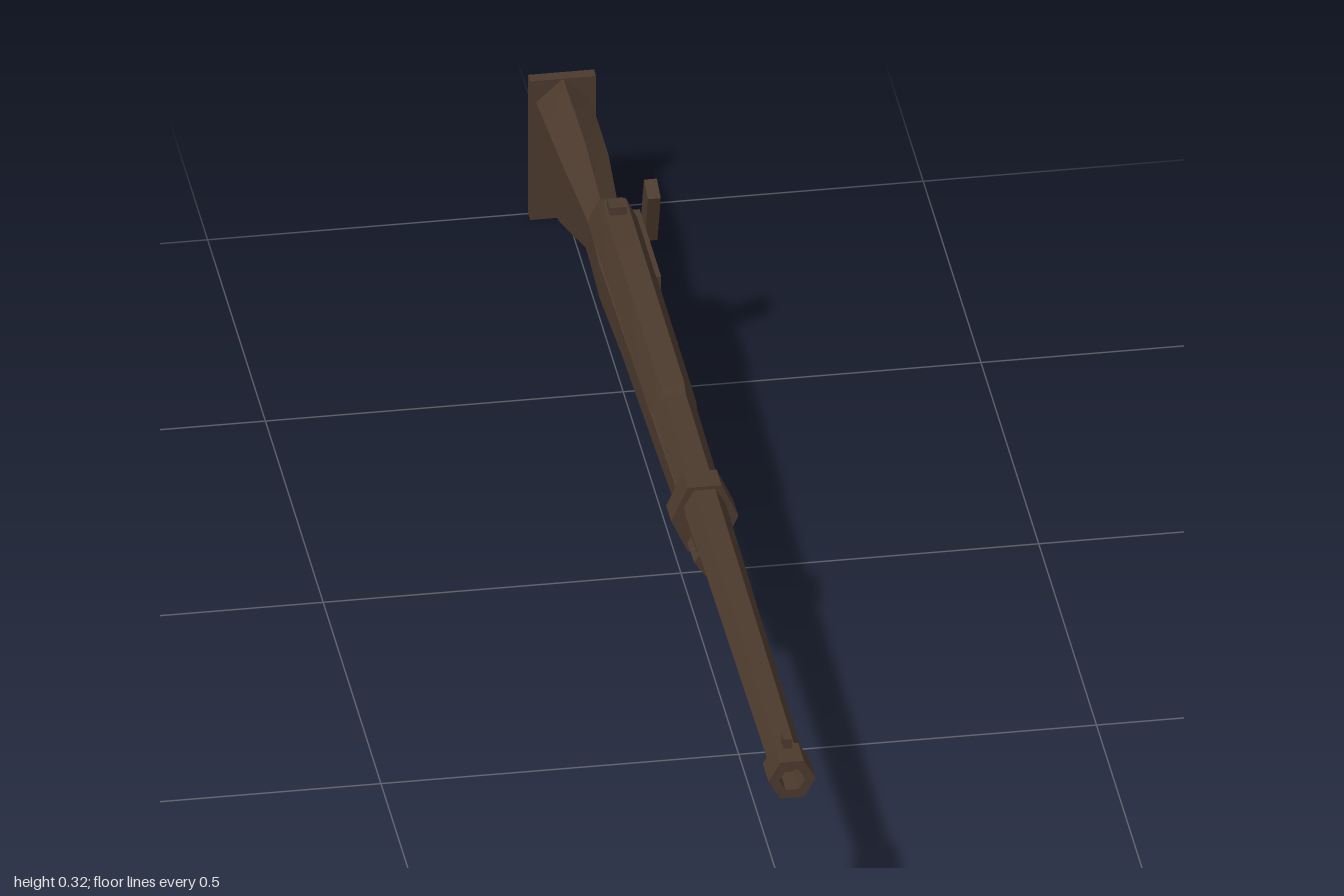
import * as THREE from 'three';
import { toCreasedNormals } from 'three/addons/utils/BufferGeometryUtils.js';

const walnut = new THREE.MeshStandardMaterial({ color: 0x4c3a2d });
walnut.name = 'dark walnut';

// Unit outlines: x in half-widths, y from 0 (bottom) to 1 (top), counter-clockwise
const FLAT = [[1, 0.5], [0.5, 1], [-0.5, 1], [-1, 0.5], [-0.5, 0], [0.5, 0]];
const POINTED = [[0, 0], [1, 0.25], [1, 0.84], [0, 1], [-1, 0.84], [-1, 0.25]];

// Joins sections [z, bottom, top, halfWidth, bottomShift] listed from back to front
function loft(outline, sections, crease = 0.3) {
  const n = outline.length, pos = [], idx = [];
  for (const [z, lo, hi, w, shift = 0] of sections)
    for (const [x, t] of outline) pos.push(x * w, lo + (hi - lo) * t, z + shift * (1 - t));
  for (let s = 0; s < sections.length - 1; s++)
    for (let j = 0; j < n; j++) {
      const a = s * n + j, b = s * n + (j + 1) % n;
      idx.push(a, b, b + n, a, b + n, a + n);
    }
  const last = (sections.length - 1) * n;
  for (let j = 1; j < n - 1; j++) {
    idx.push(0, j + 1, j);
    idx.push(last, last + j, last + j + 1);
  }
  const g = new THREE.BufferGeometry();
  g.setAttribute('position', new THREE.Float32BufferAttribute(pos, 3));
  g.setIndex(idx);
  return toCreasedNormals(g, crease);
}

function hexPath(Type, r) {
  const p = new Type();
  for (let i = 0; i < 6; i++) {
    const a = i * Math.PI / 3;
    p[i ? 'lineTo' : 'moveTo'](r * Math.cos(a), r * Math.sin(a));
  }
  p.closePath();
  return p;
}

export function createModel() {
  const model = new THREE.Group();
  const body = new THREE.Group();
  body.name = 'longGun';
  body.position.x = -0.006;
  model.add(body);

  const add = (name, geometry, x = 0, y = 0, z = 0) => {
    const m = new THREE.Mesh(geometry, walnut);
    m.name = name;
    m.position.set(x, y, z);
    body.add(m);
    return m;
  };
  const box = (name, w, h, d, x, y, z) => add(name, new THREE.BoxGeometry(w, h, d), x, y, z);

  // Tapered six-sided barrel and the thicker rear section
  add('barrel', loft(FLAT, [[-0.55, 0.222, 0.276, 0.031], [0, 0.224, 0.276, 0.031], [0.952, 0.229, 0.271, 0.025]]));
  add('receiver', loft(FLAT, [[-0.57, 0.215, 0.27, 0.03], [-0.545, 0.21, 0.282, 0.035],
    [-0.04, 0.215, 0.281, 0.034], [-0.015, 0.224, 0.276, 0.031]]));

  // Hollow muzzle collar
  const collar = hexPath(THREE.Shape, 0.033);
  collar.holes.push(hexPath(THREE.Path, 0.018));
  add('muzzle', new THREE.ExtrudeGeometry(collar, { depth: 0.05, bevelEnabled: false }), 0, 0.25, 0.95);

  // Sights
  box('frontSight', 0.012, 0.026, 0.022, 0, 0.28, 0.952);
  box('rearSight', 0.024, 0.018, 0.025, 0, 0.285, -0.515);

  // Stock from butt to forend
  add('stock', loft(POINTED, [
    [-0.985, 0.008, 0.222, 0.038, 0.02],
    [-0.8, 0.058, 0.23, 0.034],
    [-0.64, 0.132, 0.215, 0.024],
    [-0.57, 0.142, 0.235, 0.028],
    [-0.45, 0.16, 0.25, 0.035],
    [-0.27, 0.182, 0.25, 0.034],
    [0.0, 0.19, 0.25, 0.031],
    [0.34, 0.2, 0.245, 0.026],
  ], 0.5));
  box('buttPlate', 0.092, 0.222, 0.018, 0, 0.111, -0.991);

  // Barrel band and forend cap
  add('barrelBand', loft(FLAT, [[0.2, 0.178, 0.28, 0.047], [0.243, 0.178, 0.28, 0.047]]));
  add('forendCap', loft(FLAT, [[0.295, 0.199, 0.248, 0.033], [0.35, 0.2, 0.247, 0.032]]));

  // Side plate and tilted hammer
  box('lockPlate', 0.012, 0.048, 0.185, 0.034, 0.226, -0.475);
  const hammer = box('hammer', 0.018, 0.088, 0.036, 0.049, 0.271, -0.528);
  hammer.rotation.x = 0.33;

  // Trigger guard loop and trigger
  const guardPath = new THREE.CurvePath();
  const pts = [[0.158, -0.45], [0.138, -0.467], [0.117, -0.487], [0.114, -0.522], [0.13, -0.547], [0.155, -0.552]]
    .map(([y, z]) => new THREE.Vector3(0, y, z));
  for (let i = 1; i < pts.length; i++) guardPath.add(new THREE.LineCurve3(pts[i - 1], pts[i]));
  add('triggerGuard', toCreasedNormals(new THREE.TubeGeometry(guardPath, 15, 0.006, 4), 0.5));
  box('trigger', 0.006, 0.03, 0.008, 0, 0.143, -0.51);

  return model;
}
